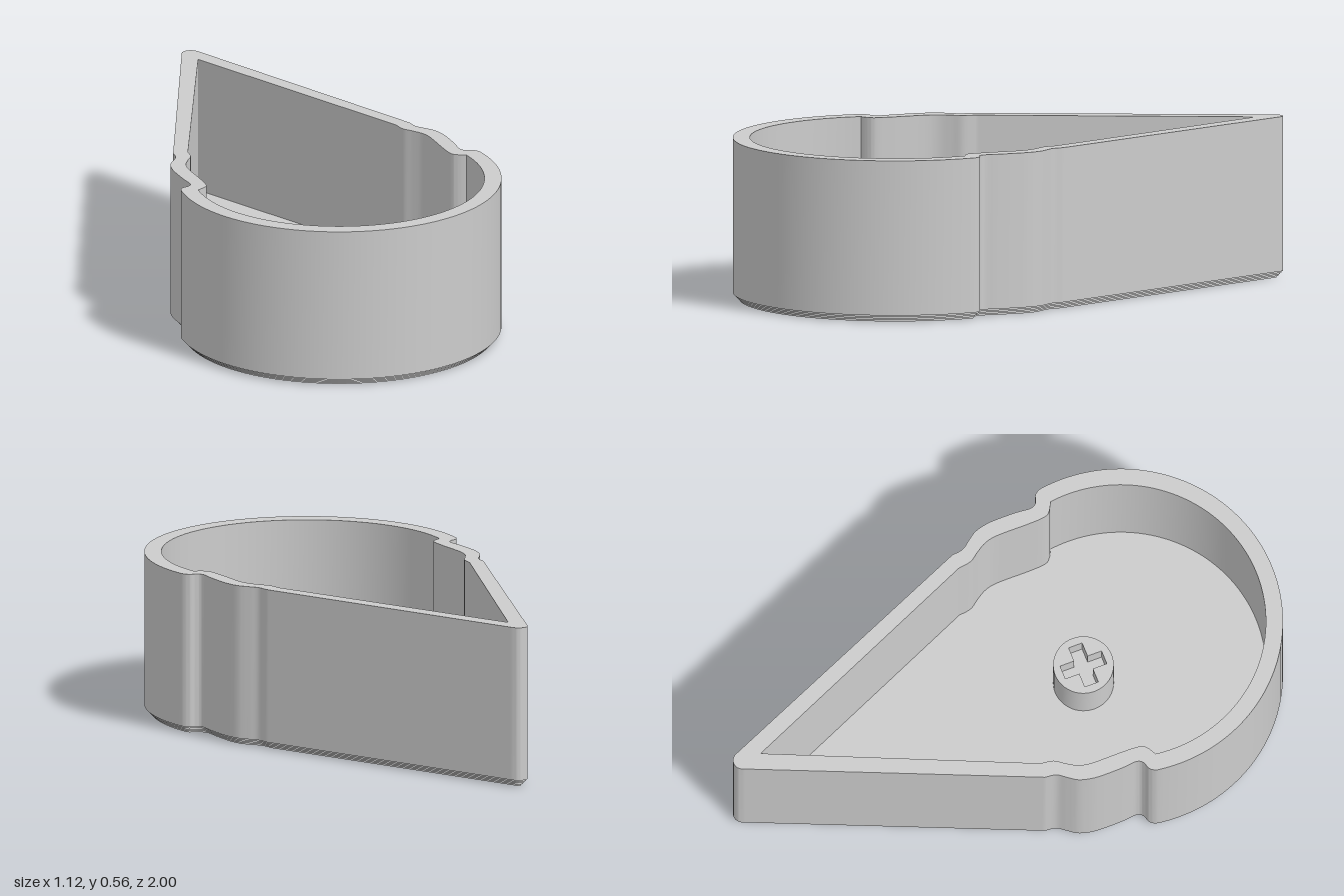
import * as THREE from 'three';
import { toCreasedNormals } from 'three/addons/utils/BufferGeometryUtils.js';

const HEIGHT = 0.565, FLOOR = 0.085, BEVEL = 0.024, GROOVE = 0.035, POST = 0.262, SOCKET = 0.2;
const V = (x, z) => new THREE.Vector2(x, -z); // plan position; shape y is -z

// Arc around (0, cz); angle 0 points to the back, 180 degrees to the front
function arc(r, cz, from, to, n) {
  return Array.from({ length: n + 1 }, (_, i) => {
    const t = from + (to - from) * i / n;
    return V(r * Math.sin(t), cz - r * Math.cos(t));
  });
}

const spline = (pts, n) => new THREE.SplineCurve(pts.map(p => V(...p))).getPoints(n);

// Closed outline from its +x half, whose first and last points lie on the axis
function mirrorHalf(half) {
  const other = half.slice(1, -1).reverse().map(p => new THREE.Vector2(-p.x, p.y));
  return [...half, ...other];
}

// Move a clockwise outline inward
function inset(pts, d) {
  const n = pts.length;
  const normal = (a, b) => new THREE.Vector2(b.y - a.y, a.x - b.x).normalize();
  return pts.map((p, i) => {
    const n1 = normal(pts[(i + n - 1) % n], p), n2 = normal(p, pts[(i + 1) % n]);
    const m = n1.clone().add(n2).normalize();
    return p.clone().addScaledVector(m, d / Math.max(0.5, m.dot(n1)));
  });
}

// Upright band along an outline, facing outward or inward
function band(outline, y0, y1, inward = false) {
  const pts = THREE.ShapeUtils.isClockWise(outline) === inward ? [...outline].reverse() : outline;
  const pos = [];
  pts.forEach((p, i) => {
    const q = pts[(i + 1) % pts.length];
    for (const [a, y] of [[q, y0], [p, y0], [p, y1], [q, y0], [p, y1], [q, y1]]) pos.push(a.x, y, -a.y);
  });
  const g = new THREE.BufferGeometry();
  g.setAttribute('position', new THREE.Float32BufferAttribute(pos, 3));
  return toCreasedNormals(g, 0.5);
}

// Level face inside an outline, facing up or down
function level(outline, y, holes = [], down = false) {
  const shape = new THREE.Shape(outline);
  shape.holes = holes.map(h => new THREE.Path(h));
  const g = new THREE.ShapeGeometry(shape);
  if (down) g.index.array.reverse();
  g.rotateX(-Math.PI / 2);
  g.translate(0, y, 0);
  g.computeVertexNormals();
  return g;
}

// One arm of a cross; bars = [distance along the arm, half length]
function arm(len, w, bars, angle) {
  const side = [];
  for (const [d, h] of bars) side.push([d - w, w], [d - w, h], [d + w, h], [d + w, w]);
  side.push([len, w]);
  const c = Math.cos(angle), s = Math.sin(angle);
  return [...side.map(([a, b]) => [a, -b]), ...side.reverse(), [w, w]]
    .map(([a, b]) => new THREE.Vector2(a * c - b * s, a * s + b * c));
}

// Cross outline made of four arms
function cross(arms, w, start, cz) {
  return arms.flatMap(([len, bars], i) => arm(len, w, bars, start + i * Math.PI / 2))
    .map(p => new THREE.Vector2(p.x, p.y - cz));
}

export function createModel() {
  const model = new THREE.Group();
  const grey = new THREE.MeshStandardMaterial({ color: 0xcccccc });
  grey.name = 'grey';
  const add = (name, geometry) => {
    const mesh = new THREE.Mesh(geometry, grey);
    mesh.name = name;
    model.add(mesh);
  };

  // Teardrop outlines: rounded tip, wavy shoulder, round front
  const outer = mirrorHalf([
    ...arc(0.032, -0.968, 0, 1.17, 8),
    V(0.0336, -0.9708), V(0.436, -0.0246),
    ...spline([[0.44, -0.015], [0.446, 0.025], [0.468, 0.056], [0.491, 0.09], [0.503, 0.135],
      [0.506, 0.18], [0.505, 0.25], [0.501, 0.3], [0.513, 0.322], [0.54, 0.332],
      [0.553, 0.348]], 52),
    ...arc(0.562, 0.438, 1.43, Math.PI, 48),
  ]);
  const inner = mirrorHalf([
    V(0, -0.9), V(0.383, -0.0192),
    ...spline([[0.387, -0.01], [0.394, 0.035], [0.418, 0.07], [0.441, 0.11], [0.45, 0.16],
      [0.45, 0.27], [0.454, 0.335], [0.47, 0.357], [0.493, 0.37]], 40),
    ...arc(0.503, 0.438, 1.44, Math.PI, 48),
  ]);
  const disc = arc(0.105, 0.3, 0, Math.PI * 2, 48).slice(0, -1);
  const socket = cross(Array(4).fill([0.077, []]), 0.025, 0, 0.3);
  const bars = [[0.208, 0.115], [0.39, 0.068]];
  const grooves = cross([[0.23, []], [0.23, []], [0.5, bars], [0.5, bars]],
    0.017, Math.PI / 4, -0.368);

  // Wall, rim and floor
  add('outerWall', band(outer, BEVEL, HEIGHT));
  add('innerWall', band(inner, FLOOR, HEIGHT, true));
  add('rim', level(outer, HEIGHT, [inner]));
  add('floor', level(inner, FLOOR, [disc]));

  // Post with a cross socket in its top
  add('postSide', band(disc, FLOOR, POST));
  add('postTop', level(disc, POST, [socket]));
  add('socketSide', band(socket, SOCKET, POST, true));
  add('socketFloor', level(socket, SOCKET));

  // Stepped bottom edge; each ledge surrounds the layer below, the lowest holds the grooves
  const step = BEVEL / 4;
  let below = grooves;
  for (let i = 0; i <= 4; i++) {
    const layer = i < 4 ? inset(outer, 0.0225 - i * 0.0055) : outer;
    add(i ? 'ledge' + i : 'underside', level(layer, i * step, [below], true));
    if (i < 4) add('bottomStep' + (i + 1), band(layer, i * step, (i + 1) * step));
    below = layer;
  }

  // Branching grooves in the underside
  add('grooveSide', band(grooves, 0, GROOVE, true));
  add('grooveCeiling', level(grooves, GROOVE, [], true));

  return model;
}
